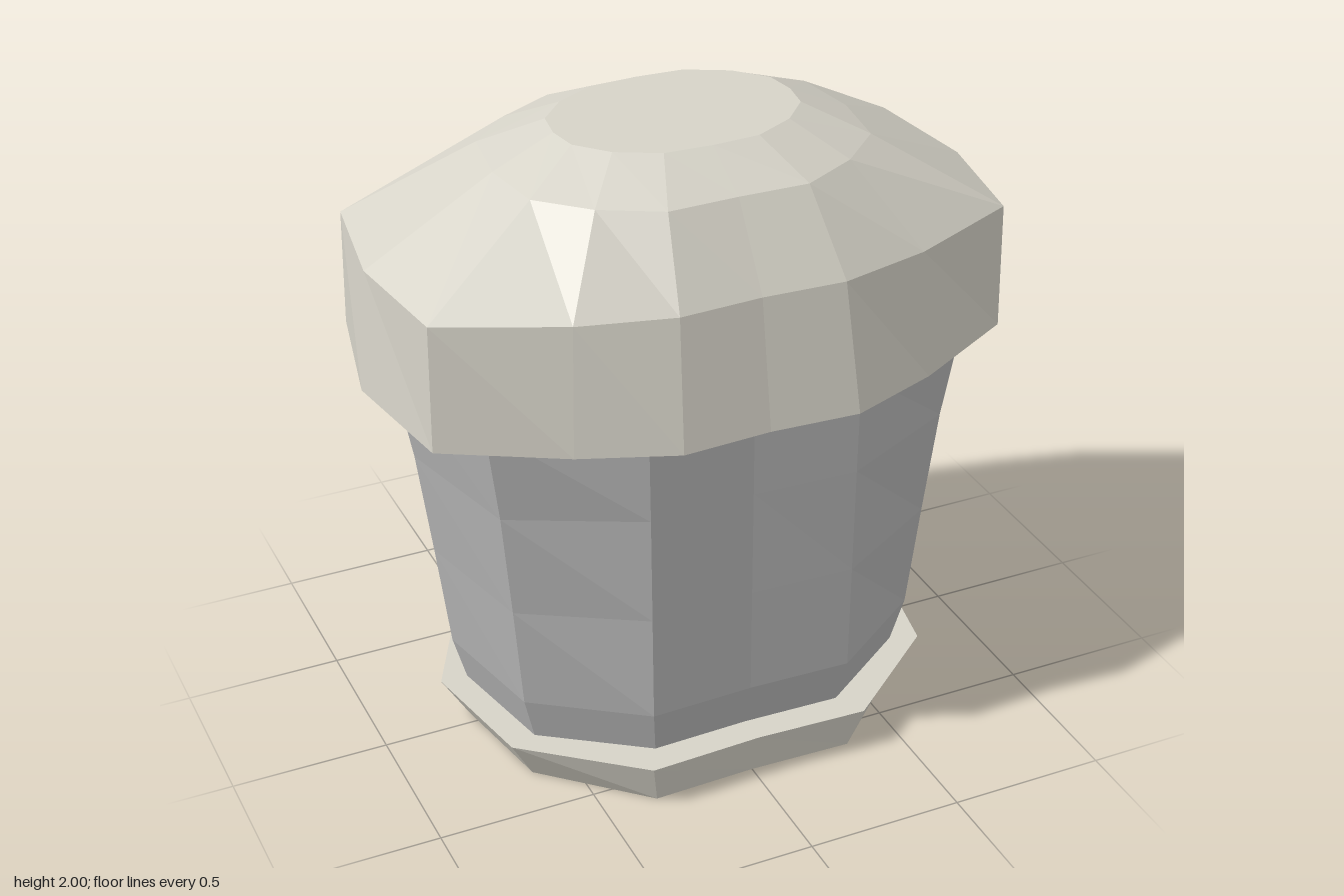
import * as THREE from 'three';

// Skin a stack of closed rings (clockwise seen from above) and cap both ends
function loft(name, rings, color) {
  const n = rings[0].length, pos = [];
  const tri = (...pts) => pts.forEach((p) => pos.push(...p));
  for (let r = 0; r < rings.length - 1; r++) {
    for (let i = 0; i < n; i++) {
      const j = (i + 1) % n;
      const a = rings[r][i], b = rings[r][j], c = rings[r + 1][j], d = rings[r + 1][i];
      tri(a, d, c);
      tri(a, c, b);
    }
  }
  const cap = (ring, up) => {
    const flat = ring.map((p) => new THREE.Vector2(p[0], p[2]));
    for (const [i, j, k] of THREE.ShapeUtils.triangulateShape(flat, [])) {
      const [a, b, c] = [ring[i], ring[j], ring[k]];
      const ny = (b[2] - a[2]) * (c[0] - a[0]) - (b[0] - a[0]) * (c[2] - a[2]);
      if ((ny > 0) === up) tri(a, b, c);
      else tri(a, c, b);
    }
  };
  cap(rings[0], false);
  cap(rings[rings.length - 1], true);
  const geo = new THREE.BufferGeometry();
  geo.setAttribute('position', new THREE.Float32BufferAttribute(pos, 3));
  geo.computeVertexNormals();
  const mesh = new THREE.Mesh(geo, new THREE.MeshStandardMaterial({ color, flatShading: true }));
  mesh.name = name;
  return mesh;
}

// Mirror a half outline (back to front, +x side) across x = 0; the last point lies on the axis
const mirror = (half) => [...half, ...half.slice(0, -1).reverse().map(([x, z]) => [-x, z])];
const at = (plan, y) => plan.map(([x, z]) => [x, y, z]);
const mix = (p, q, t) => p.map(([x, z], i) => [x + (q[i][0] - x) * t, z + (q[i][1] - z) * t]);
const scale = (plan, s) => plan.map(([x, z]) => [x * s, z * s]);

const CREAM = 0xd6d3c8, GREY = 0xb6b6b6, GOLD = 0xb38c34;

export function createModel() {
  const model = new THREE.Group();
  model.name = 'lanternHousing';

  // Base dish: flared slab with a wedge cut from its centre to the back
  const dishLow = mirror([[0.24, -0.58], [0.51, -0.42], [0.7, -0.05], [0.63, 0.32], [0.33, 0.6], [0, 0.59]]);
  const dishTop = mirror([[0.26, -0.64], [0.58, -0.46], [0.79, -0.05], [0.71, 0.36], [0.36, 0.645], [0, 0.63]]);
  model.add(loft('baseDish', [at([...dishLow, [0, 0]], 0), at([...dishTop, [0, 0]], 0.15)], CREAM));

  // Body: thick wall, open at the back
  const bodyLow = mirror([[0.26, -0.57], [0.53, -0.42], [0.745, -0.05], [0.66, 0.35], [0.33, 0.58], [0, 0.57]]);
  const bodyTop = mirror([[0.28, -0.6], [0.58, -0.47], [0.89, -0.05], [0.77, 0.41], [0.34, 0.578], [0, 0.565]]);
  const levels = [[0.14, 0, 0.94], [0.3, 0, 1], [0.65, 0.3, 1], [1, 0.62, 1], [1.33, 1.05, 1]];
  const wall = levels.map(([y, t, s]) => {
    const outer = scale(mix(bodyLow, bodyTop, t), s);
    return at([...outer, ...scale(outer, 0.93).reverse()], y);
  });
  model.add(loft('bodyShell', wall, GREY));

  // Hanging panel set just inside the back opening
  const panel = [[0.26, -0.49], [0.26, -0.41], [0, -0.42], [-0.2, -0.43], [-0.27, -0.41],
    [-0.27, -0.48], [-0.2, -0.51], [0, -0.5]];
  const panelTop = panel.map(([x, z]) => [x * 1.06, z * 1.04]);
  model.add(loft('backPanel', [at(panel, 0.46), at(mix(panel, panelTop, 0.4), 0.85), at(panelTop, 1.34)], GOLD));

  // Lid: sixteen-sided dome; its rim rises slightly toward the back
  const lidRows = [
    [[[0, 0.67], [0.28, 0.685], [0.57, 0.575], [0.92, 0.38], [1, 0]], 1.295, 0.025],
    [[[0, 0.6], [0.26, 0.612], [0.55, 0.54], [0.915, 0.375], [0.97, 0]], 1.68, 0.01],
    [[[0, 0.44], [0.22, 0.445], [0.4, 0.35], [0.54, 0.215], [0.57, 0]], 1.912, 0],
    [[[0, 0.27], [0.15, 0.262], [0.28, 0.195], [0.365, 0.1], [0.38, 0]], 2, 0],
  ];
  const lid = lidRows.map(([q, y, tilt]) => {
    const back = q.slice(0, 4).map(([x, z]) => [x, -z]);
    const half = [...back, ...q.slice().reverse()];
    const left = half.slice(1, -1).reverse().map(([x, z]) => [-x, z]);
    return [...half, ...left].map(([x, z]) => [x, y - tilt * THREE.MathUtils.clamp(z / 0.37, -1, 1), z]);
  });
  model.add(loft('lid', lid, CREAM));

  return model;
}
